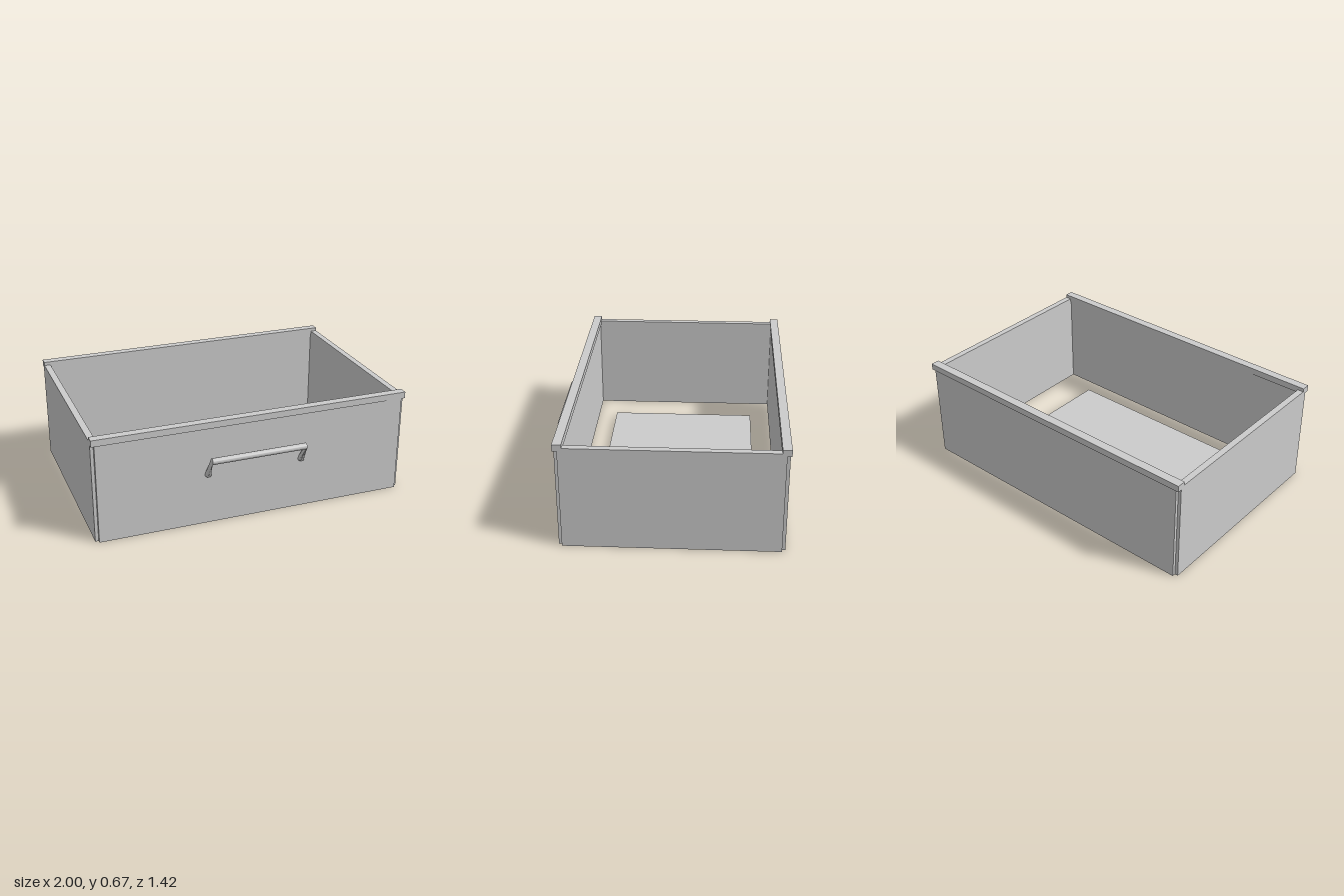
import * as THREE from 'three';
import { toCreasedNormals } from 'three/addons/utils/BufferGeometryUtils.js';

const material = new THREE.MeshStandardMaterial({ color: 0xcccccc });

function addBox(group, name, [w, h, d], [x, y, z]) {
  const mesh = new THREE.Mesh(new THREE.BoxGeometry(w, h, d), material);
  mesh.name = name;
  mesh.position.set(x, y, z);
  group.add(mesh);
}

// Handle lofted through four rings: foot, bar end, bar end, foot
function handleGeometry() {
  const sides = 24, r = 0.02, halfWidth = 0.302;
  const X = new THREE.Vector3(1, 0, 0);
  const D = new THREE.Vector3(0, 0.866, 0.5); // direction of the slanted legs
  const N = new THREE.Vector3().crossVectors(X, D);
  const rings = [
    { c: new THREE.Vector3(-halfWidth, 0.326, 0.622), u: X },
    { c: new THREE.Vector3(-halfWidth, 0.444, 0.69), u: D.clone().negate() },
    { c: new THREE.Vector3(halfWidth, 0.444, 0.69), u: D.clone().negate() },
    { c: new THREE.Vector3(halfWidth, 0.326, 0.622), u: X.clone().negate() },
  ];
  const positions = [], index = [];
  for (const { c, u } of rings) {
    for (let j = 0; j < sides; j++) {
      const a = (j / sides) * Math.PI * 2;
      const p = c.clone().addScaledVector(u, r * Math.cos(a)).addScaledVector(N, r * Math.sin(a));
      positions.push(p.x, p.y, p.z);
    }
  }
  // Centres of the two end caps
  const start = rings.length * sides, end = start + 1;
  for (const { c } of [rings[0], rings[3]]) positions.push(c.x, c.y, c.z);
  for (let j = 0; j < sides; j++) {
    const k = (j + 1) % sides;
    for (let i = 0; i < rings.length - 1; i++) {
      const a = i * sides + j, b = i * sides + k;
      index.push(a, a + sides, b, b, a + sides, b + sides);
    }
    index.push(start, j, k, end, 3 * sides + k, 3 * sides + j);
  }
  const geometry = new THREE.BufferGeometry();
  geometry.setAttribute('position', new THREE.Float32BufferAttribute(positions, 3));
  geometry.setIndex(index);
  return toCreasedNormals(geometry, 0.6);
}

export function createModel() {
  const drawer = new THREE.Group();
  drawer.name = 'drawer';
  const t = 0.04, height = 0.646, zFront = 0.6, zBack = -0.682;
  const zMid = (zFront + zBack) / 2;

  // Front and back panels, each capped by a rail
  for (const [side, z] of [['front', zFront], ['back', zBack]]) {
    addBox(drawer, side + 'Panel', [1.96, height, t], [0, height / 2, z]);
    addBox(drawer, side + 'Rail', [2, 0.041, 0.054], [0, 0.6475, z]);
  }

  // Side panels
  for (const [side, s] of [['left', 1], ['right', -1]]) {
    addBox(drawer, side + 'Panel', [t, height, zFront - zBack], [s * 0.98, height / 2, zMid]);
  }

  // Smaller floor board, clear of the walls
  addBox(drawer, 'floorBoard', [1.364, t, 0.972], [0, t / 2, zMid]);

  const handle = new THREE.Mesh(handleGeometry(), material);
  handle.name = 'handle';
  drawer.add(handle);
  return drawer;
}
